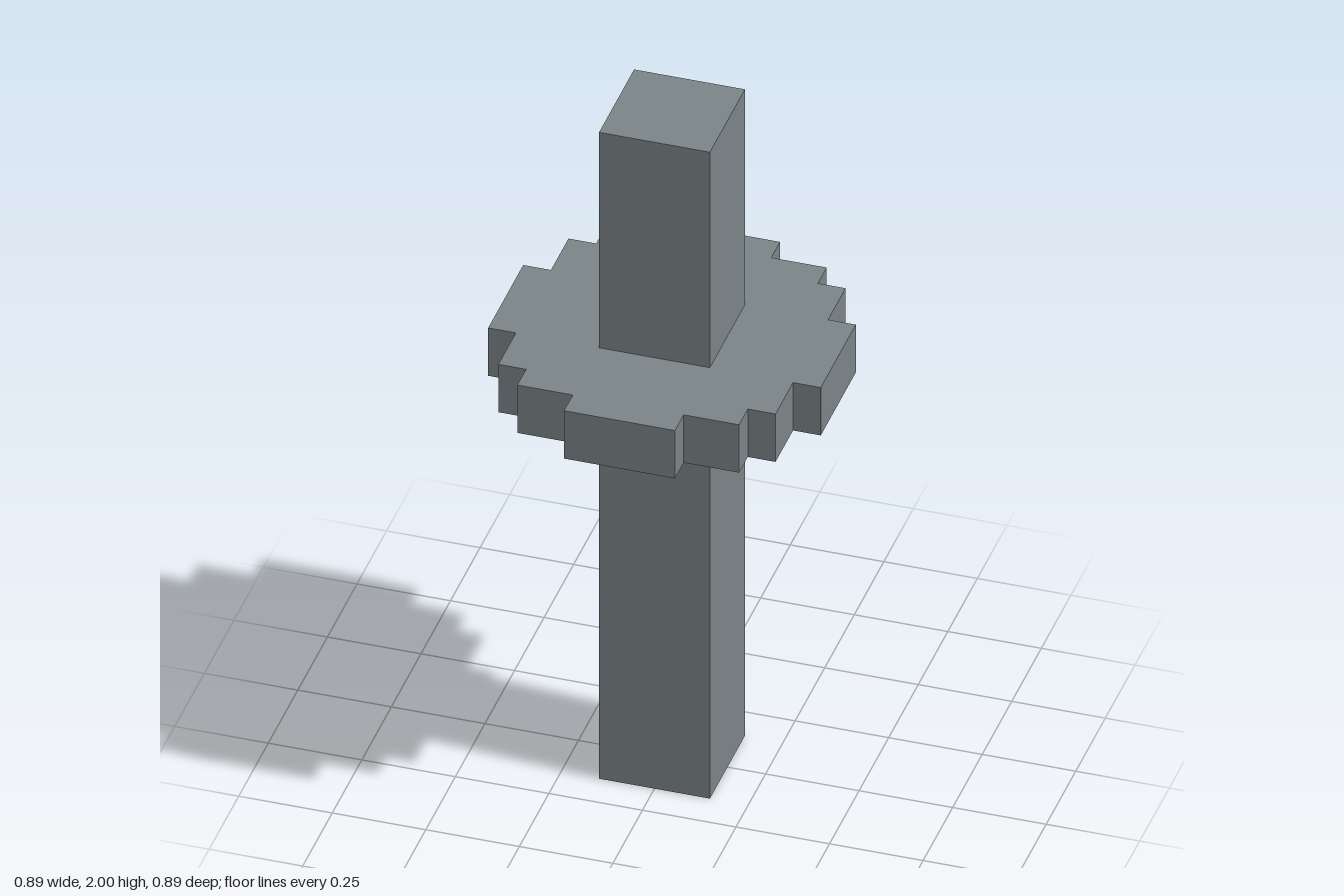
import * as THREE from 'three';

const U = 2 / 27; // one block of the stepped grid

export function createModel() {
  const model = new THREE.Group();
  model.name = 'pillarWithCollar';
  const stone = new THREE.MeshStandardMaterial({ color: 0x7b8487 });
  stone.name = 'stone grey';

  // Square pillar, full height
  const pillar = new THREE.Mesh(new THREE.BoxGeometry(4 * U, 27 * U, 4 * U), stone);
  pillar.name = 'pillar';
  pillar.position.y = 13.5 * U;
  model.add(pillar);

  // Stepped round collar: one quarter of the outline, turned four times
  const quarter = [[6, -2], [6, 2], [5, 2], [5, 4], [4, 4], [4, 5], [2, 5]];
  const outline = [];
  for (let i = 0; i < 4; i++) {
    for (const [x, y] of quarter) {
      let p = [x, y];
      for (let k = 0; k < i; k++) p = [-p[1], p[0]];
      outline.push(new THREE.Vector2(p[0] * U, p[1] * U));
    }
  }
  const collarGeometry = new THREE.ExtrudeGeometry(new THREE.Shape(outline), {
    depth: 2 * U,
    bevelEnabled: false,
  });
  collarGeometry.rotateX(-Math.PI / 2);
  const collar = new THREE.Mesh(collarGeometry, stone);
  collar.name = 'collar';
  collar.position.y = 16 * U;
  model.add(collar);

  return model;
}
